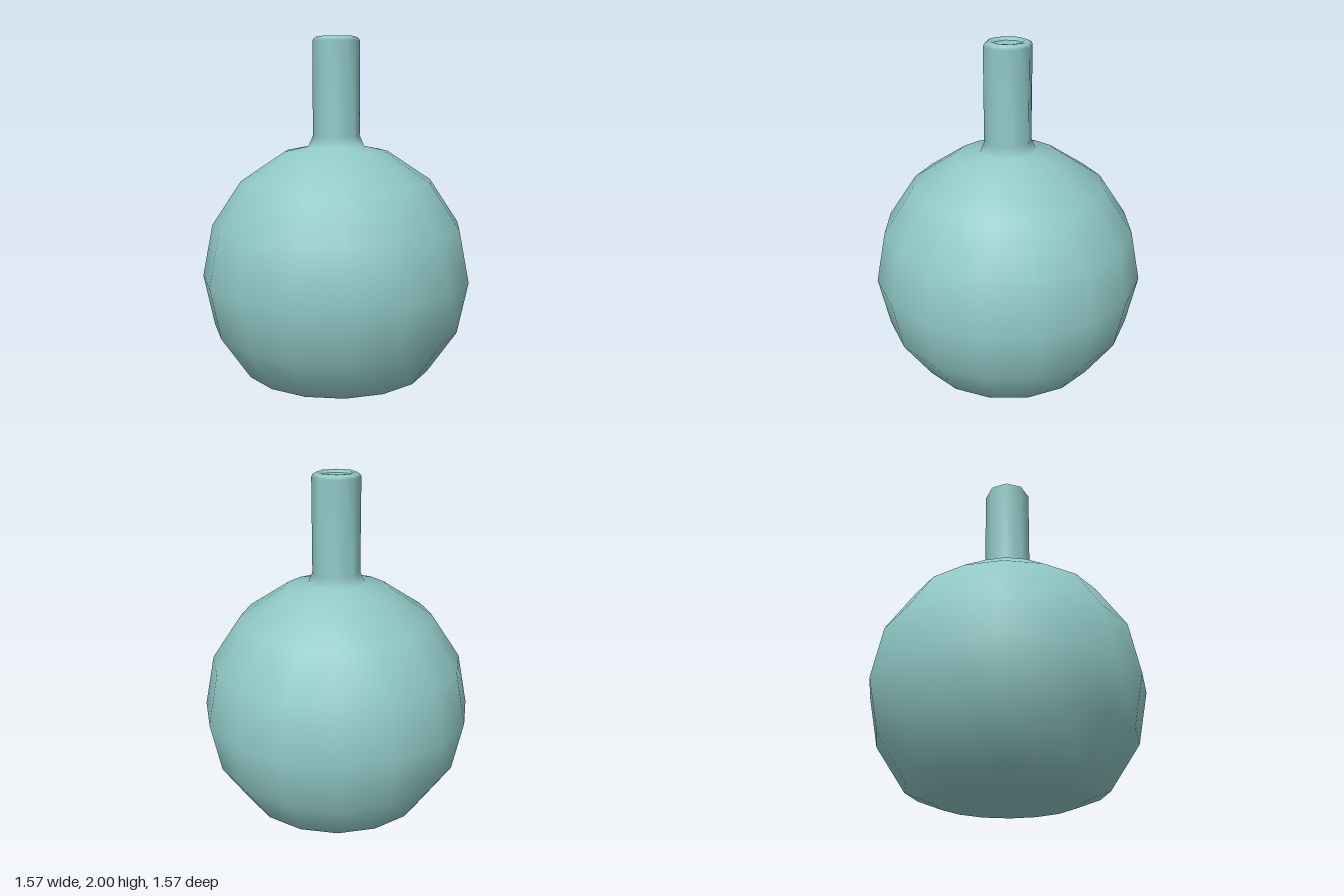
import * as THREE from 'three';
import { mergeVertices } from 'three/addons/utils/BufferGeometryUtils.js';

const SIDES = 16;

// Keep only the triangles whose mean height passes the test
function pickFaces(geometry, test) {
  const pos = geometry.attributes.position;
  const index = geometry.index.array;
  const kept = [];
  for (let i = 0; i < index.length; i += 3) {
    const tri = [index[i], index[i + 1], index[i + 2]];
    if (test((pos.getY(tri[0]) + pos.getY(tri[1]) + pos.getY(tri[2])) / 3)) kept.push(...tri);
  }
  const part = geometry.clone();
  part.setIndex(kept);
  return part.toNonIndexed();
}

export function createModel() {
  const group = new THREE.Group();
  group.name = 'flask';
  const material = new THREE.MeshStandardMaterial({ color: 0x8fc7c5 });

  // Profile: flat foot, round belly, flared collar, neck and rounded lip
  const profile = [
    [0, 0], [0.4, 0.01], [0.555, 0.07], [0.725, 0.325], [0.785, 0.625],
    [0.725, 0.925], [0.555, 1.18], [0.3, 1.35], [0.162, 1.38],
    [0.136, 1.44], [0.136, 1.975], [0.128, 1.99], [0.11, 2], [0.09, 1.998], [0.08, 1.985],
  ].map(([r, y]) => new THREE.Vector2(r, y));
  let shell = new THREE.LatheGeometry(profile, SIDES);

  // The neck is eight-sided: pull every second column onto the octagon's edges
  const pos = shell.attributes.position;
  for (let i = 0; i < pos.count; i++) {
    const column = Math.floor(i / profile.length);
    if (column % 2 === 1 && pos.getY(i) > 1.36) {
      const k = Math.cos(Math.PI / 8);
      pos.setX(i, pos.getX(i) * k);
      pos.setZ(i, pos.getZ(i) * k);
    }
  }

  // Weld the seam so shading runs smoothly from body to neck
  shell.deleteAttribute('uv');
  shell.deleteAttribute('normal');
  shell = mergeVertices(shell, 1e-4);
  shell.computeVertexNormals();

  const add = (name, geometry) => {
    const mesh = new THREE.Mesh(geometry, material);
    mesh.name = name;
    group.add(mesh);
    return mesh;
  };
  add('body', pickFaces(shell, (y) => y < 1.37));
  add('neck', pickFaces(shell, (y) => y >= 1.37));

  // Shallow floor inside the lip
  const mouth = add('mouth', new THREE.CircleGeometry(0.08, 8));
  mouth.rotation.x = -Math.PI / 2;
  mouth.position.y = 1.985;

  return group;
}
